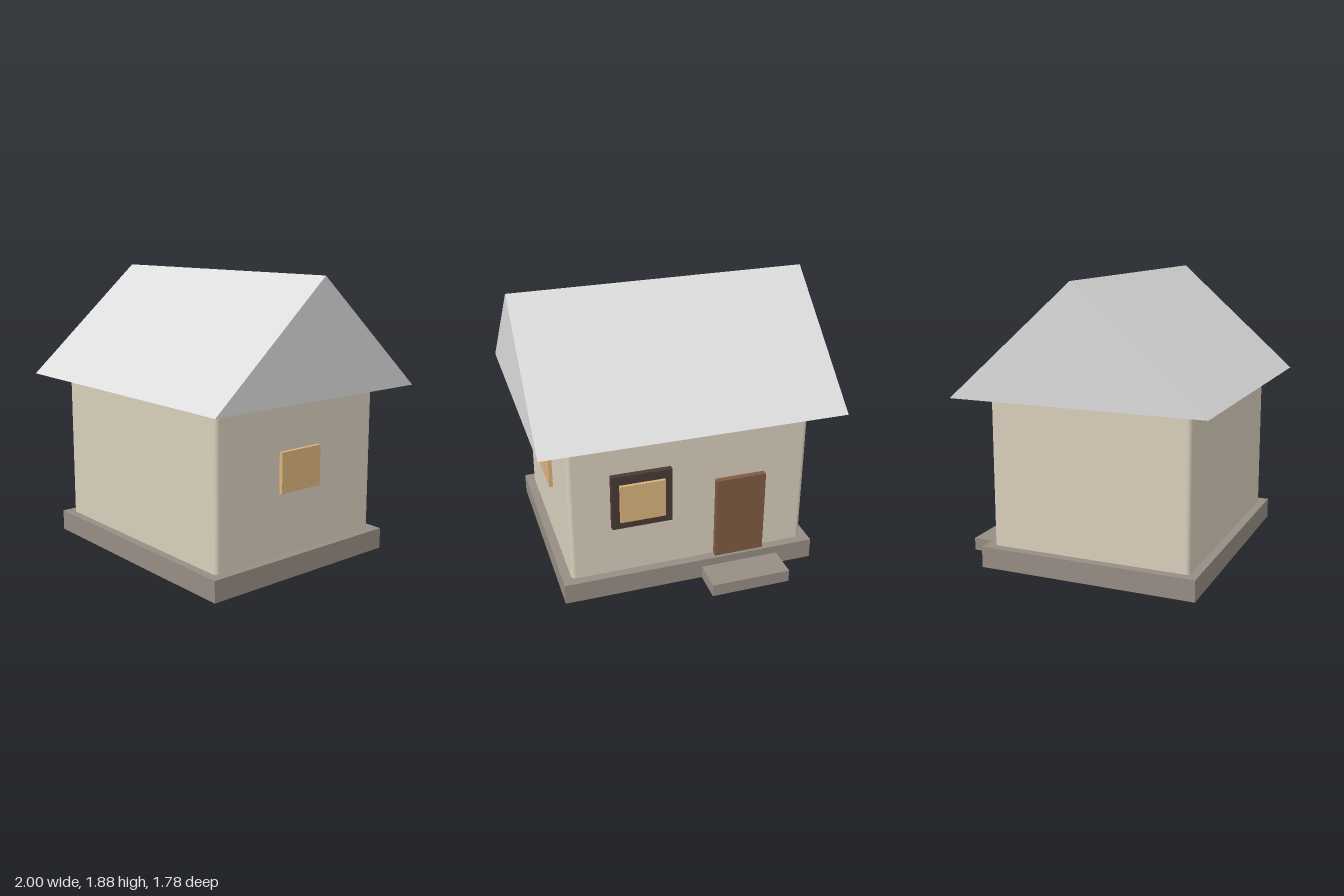
import * as THREE from 'three';
import { RoundedBoxGeometry } from 'three/addons/geometries/RoundedBoxGeometry.js';

const material = (name, color) => {
  const m = new THREE.MeshStandardMaterial({ color });
  m.name = name;
  return m;
};

export function createModel() {
  const house = new THREE.Group();
  house.name = 'house';

  const stone = material('stone', 0x978e84);
  const plaster = material('plaster', 0xd9cfbc);
  const roofGrey = material('roofGrey', 0xdcdcdc);
  const darkWood = material('darkWood', 0x4a3a35);
  const doorWood = material('doorWood', 0x7f5c42);
  const glass = material('glass', 0xdcb47c);

  const add = (name, geometry, mat) => {
    const mesh = new THREE.Mesh(geometry, mat);
    mesh.name = name;
    house.add(mesh);
    return mesh;
  };

  // Box given by its extents along each axis; an optional radius rounds its edges
  const block = (name, mat, [x0, x1], [y0, y1], [z0, z1], radius = 0) => {
    const size = [x1 - x0, y1 - y0, z1 - z0];
    const geometry = radius
      ? new RoundedBoxGeometry(...size, 4, radius)
      : new THREE.BoxGeometry(...size);
    add(name, geometry, mat).position.set((x0 + x1) / 2, (y0 + y1) / 2, (z0 + z1) / 2);
  };

  // Base and walls
  block('foundation', stone, [-0.865, 0.865], [0, 0.14], [-0.675, 0.785]);
  block('walls', plaster, [-0.805, 0.805], [0.02, 1.138], [-0.615, 0.73], 0.03);

  // Entrance on the back wall
  block('doorStep', stone, [-0.61, -0.07], [0, 0.085], [-0.89, -0.675]);
  block('door', doorWood, [-0.51, -0.17], [0.14, 0.72], [-0.655, -0.6]);

  // Framed back window and plain side window
  block('windowFrame', darkWood, [0.135, 0.535], [0.49, 0.87], [-0.655, -0.6]);
  block('backWindow', glass, [0.185, 0.485], [0.545, 0.81], [-0.675, -0.64]);
  block('sideWindow', glass, [0.79, 0.83], [0.545, 0.81], [-0.11, 0.22]);

  // Gable roof: triangle in the z-y plane extruded along x
  const gable = new THREE.Shape([
    new THREE.Vector2(-0.89, 1.14),
    new THREE.Vector2(0.785, 1.14),
    new THREE.Vector2(-0.0525, 1.88),
  ]);
  const roof = new THREE.ExtrudeGeometry(gable, { depth: 2, bevelEnabled: false });
  roof.translate(0, 0, -1).rotateY(Math.PI / 2);
  add('roof', roof, roofGrey);

  return house;
}
